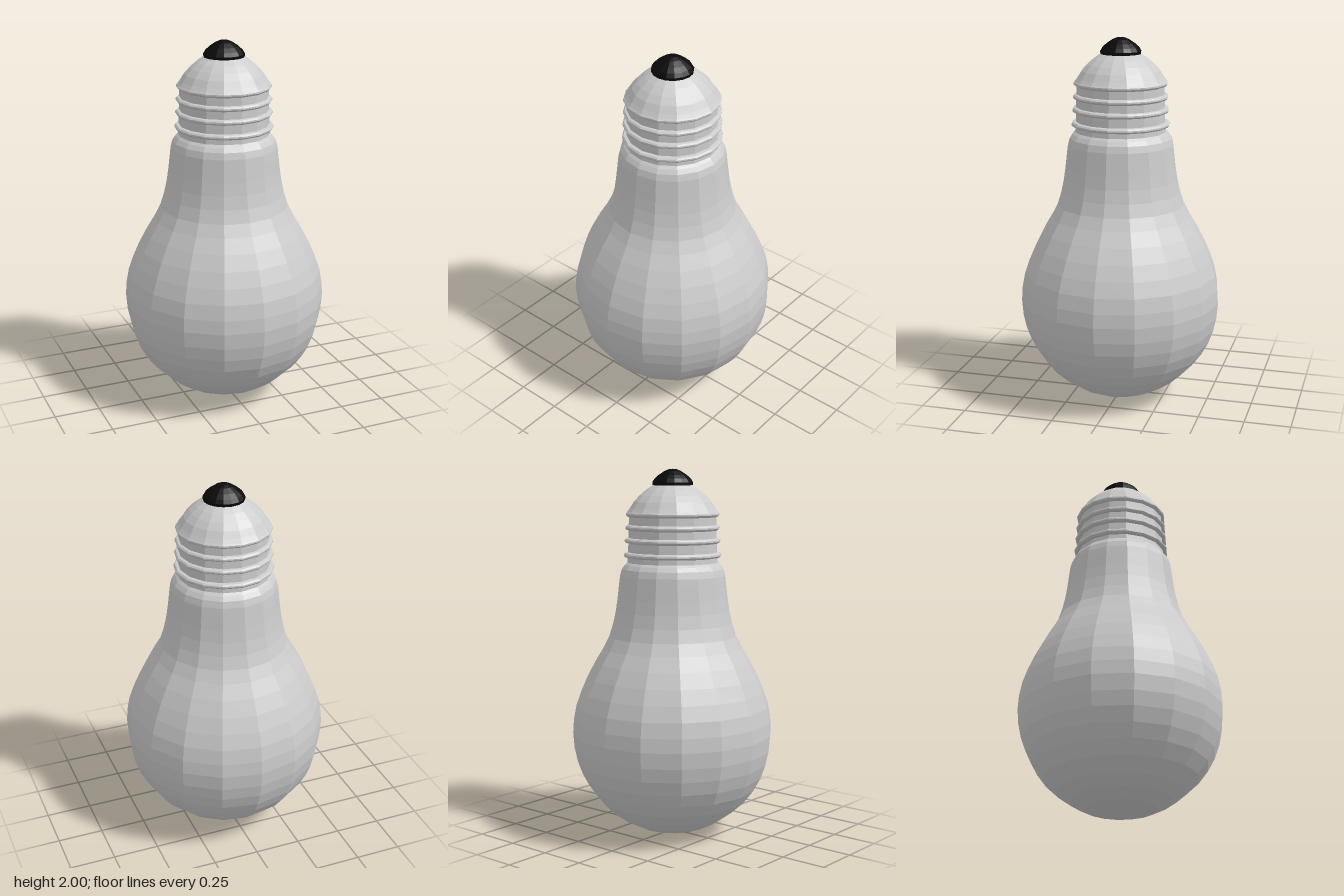
import * as THREE from 'three';

const SIDES = 16;

const grey = new THREE.MeshStandardMaterial({ color: 0xcccccc, flatShading: true });
grey.name = 'light grey';
const black = new THREE.MeshStandardMaterial({ color: 0x0a0a0a, flatShading: true });
black.name = 'contact black';

// Faceted turned part; profile is [radius, height] from bottom to top
function turned(name, profile, material) {
  const points = profile.map(([r, y]) => new THREE.Vector2(r, y));
  const mesh = new THREE.Mesh(new THREE.LatheGeometry(points, SIDES), material);
  mesh.name = name;
  return mesh;
}

export function createModel() {
  const group = new THREE.Group();
  group.name = 'lightBulb';

  // Glass: round belly narrowing to a neck with a rolled shoulder
  group.add(turned('glassBulb', [
    [0, 0], [0.1, 0.012], [0.19, 0.035], [0.27, 0.075], [0.34, 0.125], [0.41, 0.19],
    [0.462, 0.26], [0.5, 0.33], [0.527, 0.405], [0.543, 0.48], [0.55, 0.565],
    [0.545, 0.64], [0.53, 0.72], [0.502, 0.8], [0.467, 0.88], [0.425, 0.96],
    [0.38, 1.035], [0.347, 1.1], [0.325, 1.17], [0.31, 1.24], [0.3, 1.31],
    [0.292, 1.38], [0.286, 1.43], [0.276, 1.465], [0.26, 1.487], [0.246, 1.5], [0.243, 1.54],
  ], grey));

  // Screw base core and its rounded cone
  group.add(turned('screwBase', [
    [0.243, 1.5], [0.24, 1.62], [0.236, 1.76], [0.25, 1.765], [0.232, 1.79],
    [0.21, 1.825], [0.18, 1.858], [0.145, 1.888], [0.105, 1.915], [0, 1.93],
  ], grey));

  // Four raised thread rings, slightly wider towards the glass
  [[1.54, 0.265], [1.617, 0.26], [1.687, 0.256], [1.759, 0.253]].forEach(([y, r], i) => {
    group.add(turned(`threadRing${i + 1}`, [
      [0.235, y - 0.016], [r - 0.007, y - 0.012], [r, y - 0.004],
      [r, y + 0.004], [r - 0.007, y + 0.012], [0.235, y + 0.016],
    ], grey));
  });

  // Electrical contact at the tip
  group.add(turned('contactTip', [
    [0, 1.912], [0.108, 1.912], [0.11, 1.928], [0.098, 1.948],
    [0.075, 1.968], [0.045, 1.988], [0.02, 1.998], [0, 2],
  ], black));

  return group;
}
